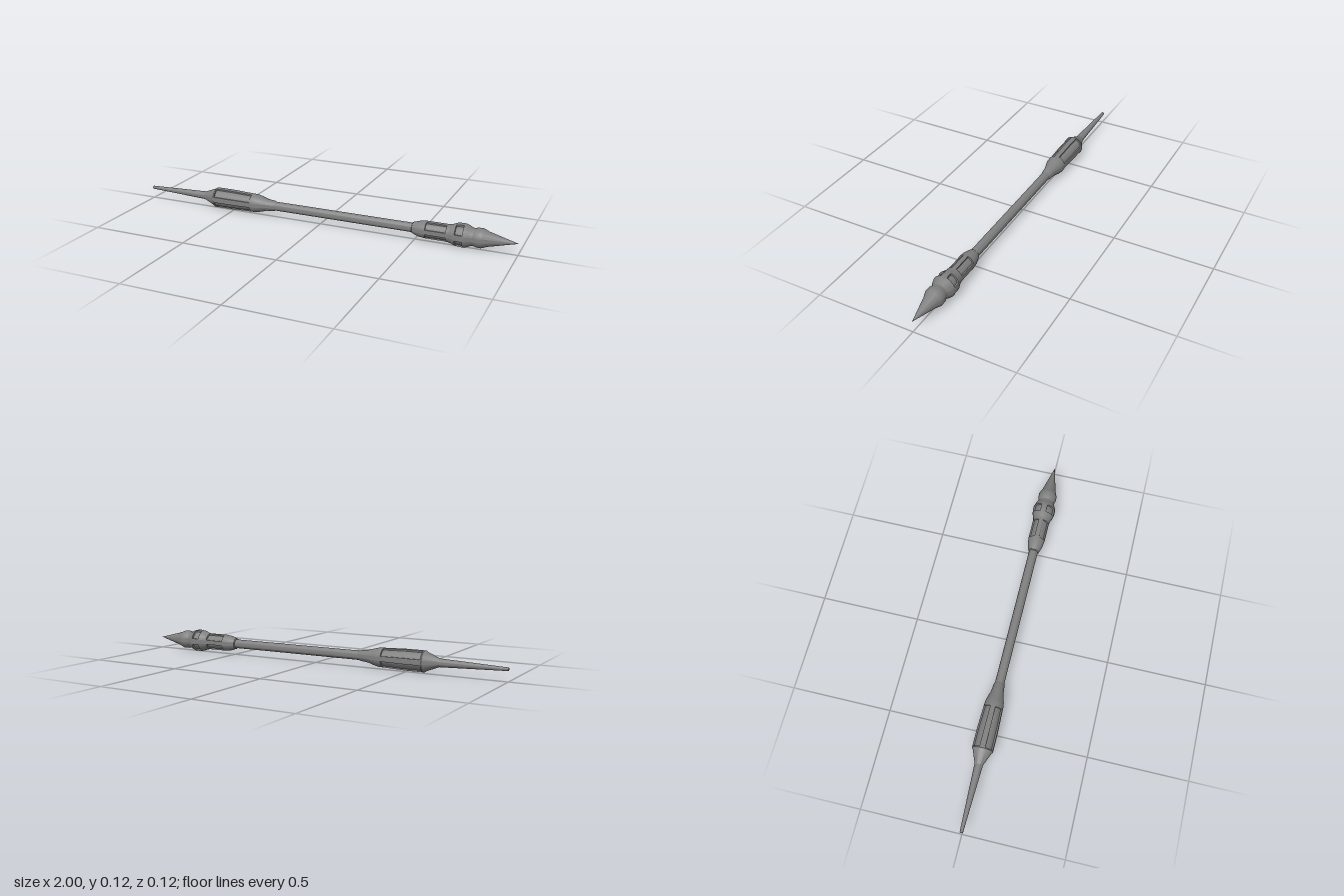
import * as THREE from 'three';
import { toCreasedNormals } from 'three/addons/utils/BufferGeometryUtils.js';

const AXIS_Y = 0.0585;
const SEGMENTS = 160;
const material = new THREE.MeshStandardMaterial({ color: 0x808080 });

// Radius of a profile of [x, radius] pairs at position x
function radiusAt(profile, x) {
  for (let i = 1; i < profile.length; i++) {
    const [x0, r0] = profile[i - 1], [x1, r1] = profile[i];
    if (x <= x1 && x1 > x0) return r0 + (r1 - r0) * (x - x0) / (x1 - x0);
  }
  return 0;
}

// Turned part along x, with four recessed panels on the diagonals for each window
function turned(name, profile, windows = []) {
  const points = profile.slice();
  for (const w of windows) {
    for (const x of [w.from - 0.001, w.from, w.to, w.to + 0.001]) {
      points.push([x, radiusAt(profile, x)]);
    }
  }
  points.sort((a, b) => a[0] - b[0]);
  const geometry = new THREE.LatheGeometry(points.map(([x, r]) => new THREE.Vector2(r, x)), SEGMENTS);
  const p = geometry.attributes.position;
  for (let i = 0; i < p.count; i++) {
    const x = p.getX(i), y = p.getY(i), z = p.getZ(i);
    const offset = Math.abs(Math.atan2(Math.abs(x), Math.abs(z)) - Math.PI / 4);
    for (const w of windows) {
      if (y > w.from - 1e-5 && y < w.to + 1e-5 && offset < w.halfAngle) {
        const k = 1 - w.depth / Math.hypot(x, z);
        p.setXYZ(i, x * k, y, z * k);
      }
    }
  }
  geometry.rotateZ(-Math.PI / 2);
  const mesh = new THREE.Mesh(toCreasedNormals(geometry, 0.45), material);
  mesh.name = name;
  return mesh;
}

export function createModel() {
  const staff = new THREE.Group();
  staff.name = 'staff';
  staff.position.y = AXIS_Y;

  // Slender tapering tail
  staff.add(turned('tailSpike', [[-1, 0], [-1, 0.008], [-0.66, 0.021]]));

  // Swollen grip with long recessed panels and a stepped collar
  staff.add(turned('grip', [
    [-0.68, 0.018], [-0.665, 0.022], [-0.605, 0.046], [-0.597, 0.052], [-0.5, 0.052],
    [-0.36, 0.047], [-0.345, 0.044], [-0.3, 0.031], [-0.26, 0.027], [-0.25, 0.023],
  ], [{ from: -0.59, to: -0.385, halfAngle: 0.5, depth: 0.007 }]));

  // Straight shaft
  staff.add(turned('shaft', [[-0.27, 0.023], [0.5, 0.023]]));

  // Head with panelled collar and round bulge
  staff.add(turned('head', [
    [0.485, 0.02], [0.49, 0.028], [0.525, 0.039], [0.56, 0.043], [0.665, 0.043],
    [0.685, 0.047], [0.705, 0.055], [0.725, 0.058], [0.745, 0.058], [0.762, 0.053],
    [0.778, 0.045], [0.79, 0.042], [0.8, 0.043],
  ], [
    { from: 0.56, to: 0.66, halfAngle: 0.5, depth: 0.007 },
    { from: 0.708, to: 0.744, halfAngle: 0.5, depth: 0.009 },
  ]));

  // Beaded neck running into the conical point
  staff.add(turned('tip', [
    [0.79, 0.042], [0.806, 0.047], [0.828, 0.048], [0.842, 0.043], [0.855, 0.037], [1, 0],
  ]));

  const model = new THREE.Group();
  model.name = 'spear';
  model.add(staff);
  return model;
}
